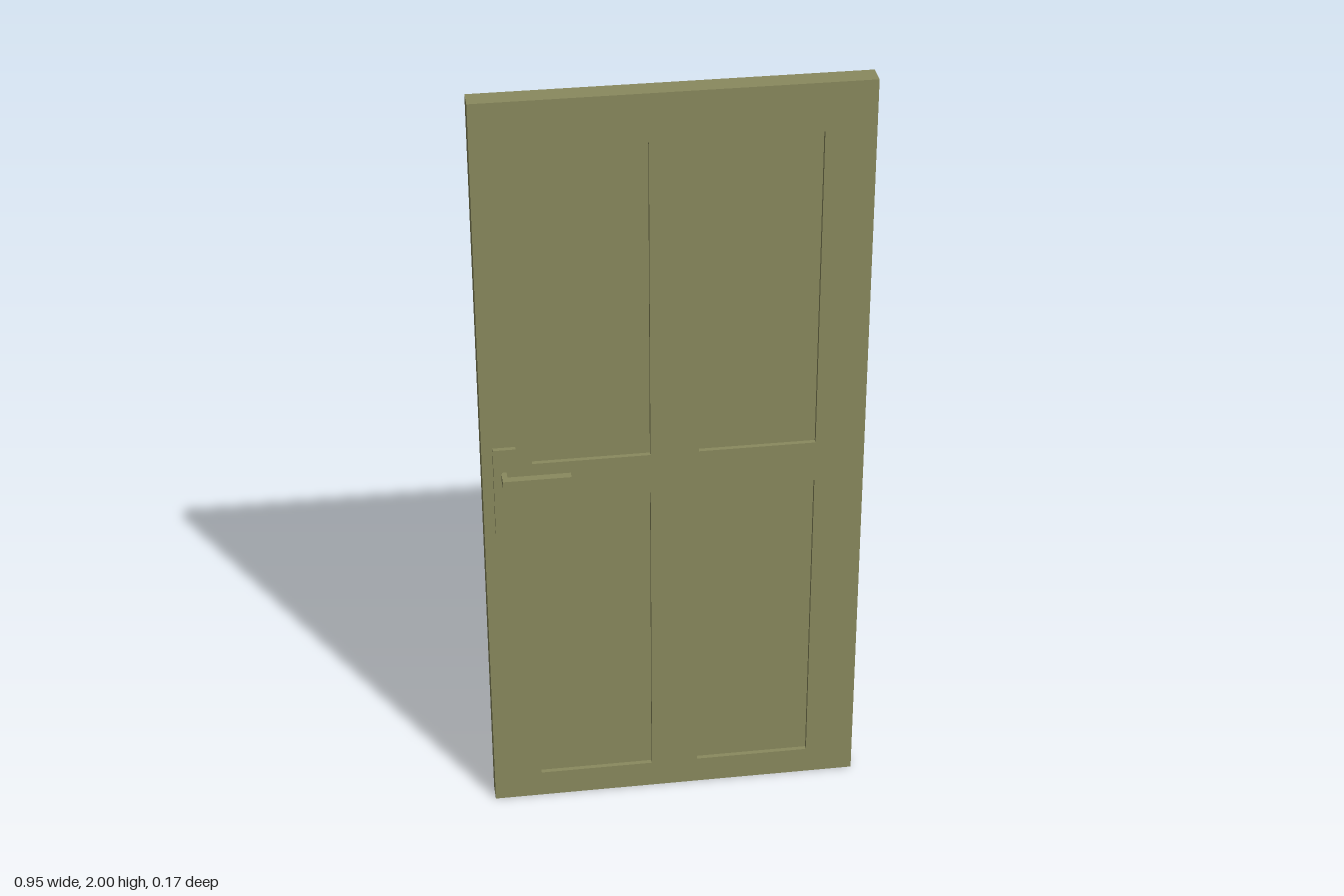
import * as THREE from 'three';

const W = 0.475, H = 2, T = 0.0275; // half width, height, half thickness
const RECESS = 0.012;

export function createModel() {
  const door = new THREE.Group();
  door.name = 'door';
  const paint = new THREE.MeshStandardMaterial({ color: 0x8a8a5e, flatShading: true });

  const add = (parent, name, geometry) => {
    const mesh = new THREE.Mesh(geometry, paint);
    mesh.name = name;
    parent.add(mesh);
    return mesh;
  };
  // Box given by its limits on each axis
  const box = (parent, name, [x0, x1], [y0, y1], [z0, z1]) => {
    const mesh = add(parent, name, new THREE.BoxGeometry(x1 - x0, y1 - y0, z1 - z0));
    mesh.position.set((x0 + x1) / 2, (y0 + y1) / 2, (z0 + z1) / 2);
  };
  const rectangle = (path, x0, x1, y0, y1) =>
    path.moveTo(x0, y0).lineTo(x1, y0).lineTo(x1, y1).lineTo(x0, y1).closePath();

  // Frame with four openings, each filled by a thinner panel
  const outline = rectangle(new THREE.Shape(), -W, W, 0, H);
  for (const [x0, x1] of [[-0.352, -0.06], [0.06, 0.352]]) {
    for (const [y0, y1] of [[0.073, 0.92], [1.03, 1.877]]) {
      outline.holes.push(rectangle(new THREE.Path(), x0, x1, y0, y1));
      box(door, 'panel', [x0, x1], [y0, y1], [-T + RECESS, T - RECESS]);
    }
  }
  const frame = new THREE.ExtrudeGeometry(outline, { depth: 2 * T, bevelEnabled: false });
  add(door, 'frame', frame.translate(0, 0, -T));

  // The same handle on both faces
  for (const side of [1, -1]) {
    const handle = new THREE.Group();
    handle.name = side > 0 ? 'frontHandle' : 'backHandle';
    const span = (a, b) => (side > 0 ? [a, b] : [-b, -a]);
    box(handle, 'backplate', [-0.448, -0.392], [0.84, 1.083], span(T, 0.0395));
    box(handle, 'stem', [-0.429, -0.416], [0.998, 1.019], span(0.0395, 0.0625));
    box(handle, 'lever', [-0.429, -0.261], [0.998, 1.019], span(0.0625, 0.083));
    door.add(handle);
  }
  return door;
}
